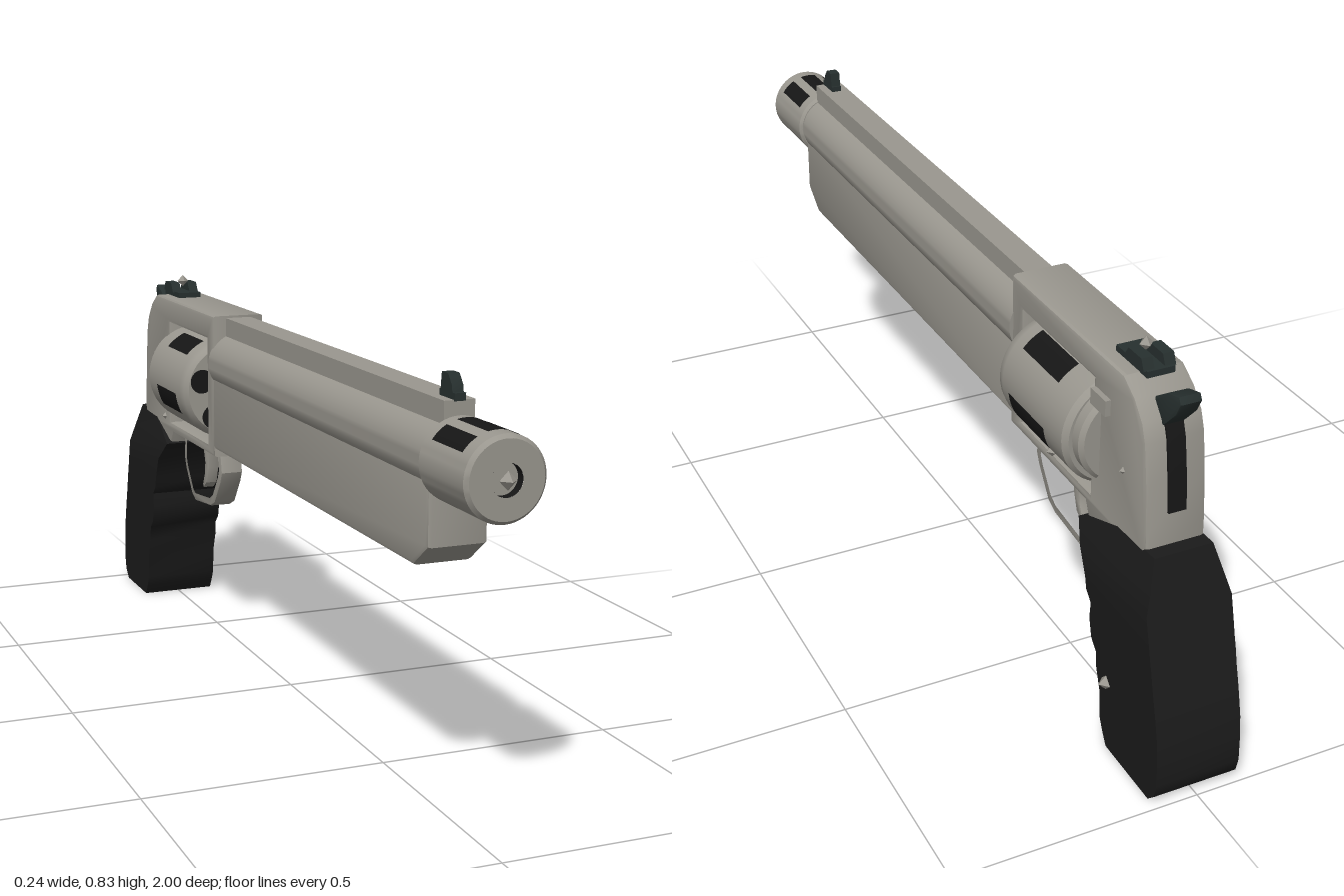
import * as THREE from 'three';
import { toCreasedNormals } from 'three/addons/utils/BufferGeometryUtils.js';

export function createModel() {
  const model = new THREE.Group();
  const paint = (name, color, side = THREE.FrontSide) => {
    const m = new THREE.MeshStandardMaterial({ color, side });
    m.name = name;
    return m;
  };
  const steel = paint('satin steel', 0x9a978f);
  const black = paint('black rubber', 0x1b1b1b);
  const recess = paint('dark recess', 0x161616, THREE.DoubleSide);
  const blued = paint('blued steel', 0x27302f);

  const add = (name, geo, mat, x = 0, y = 0, z = 0) => {
    const mesh = new THREE.Mesh(geo, mat);
    mesh.name = name;
    mesh.position.set(x, y, z);
    model.add(mesh);
    return mesh;
  };
  const box = (name, mat, w, h, d, x, y, z) => add(name, new THREE.BoxGeometry(w, h, d), mat, x, y, z);
  const vecs = pts => pts.map(p => new THREE.Vector2(p[0], p[1]));

  // Side profile in (z, y), extruded across x and centred
  const profile = (name, mat, pts, halfWidth, bevel = 0, hole = null) => {
    const shape = new THREE.Shape(vecs(pts));
    if (hole) shape.holes.push(new THREE.Path(vecs(hole)));
    const geo = new THREE.ExtrudeGeometry(shape, {
      depth: 2 * (halfWidth - bevel), bevelEnabled: bevel > 0, bevelSize: bevel,
      bevelThickness: bevel, bevelOffset: -bevel, bevelSegments: 2, curveSegments: 10,
    });
    geo.translate(0, 0, -(halfWidth - bevel));
    geo.rotateY(-Math.PI / 2);
    return add(name, toCreasedNormals(geo, 0.55), mat);
  };
  // Turned part along z, points are (radius, z)
  const turned = (name, mat, pts, y) => {
    const geo = new THREE.LatheGeometry(vecs(pts), 48);
    geo.rotateX(Math.PI / 2);
    return add(name, toCreasedNormals(geo, 0.6), mat, 0, y, 0);
  };
  // Dark curved panel lying on a turned surface, angle measured from +x
  const slot = (name, radius, y, z, length, angle, spread) => {
    const geo = new THREE.CylinderGeometry(radius, radius, length, 8, 1, true,
      angle + Math.PI / 2 - spread / 2, spread);
    geo.rotateX(Math.PI / 2);
    add(name, geo, recess, 0, y, z);
  };
  const stud = (name, size, x, y, z) => add(name, new THREE.OctahedronGeometry(size), steel, x, y, z);
  const rad = THREE.MathUtils.degToRad;

  // Barrel, rib and underlug
  const boreY = 0.675;
  turned('barrel', steel, [[0, -0.34], [0.07, -0.34], [0.07, 0.8], [0, 0.8]], boreY);
  box('topRib', steel, 0.06, 0.08, 1.13, 0, 0.74, 0.235);
  profile('underlug', steel,
    [[-0.34, 0.475], [0.745, 0.475], [0.805, 0.52], [0.805, 0.66], [-0.34, 0.66]], 0.06, 0.009);

  // Muzzle brake with three ports and a recessed bore
  turned('muzzleBrake', steel,
    [[0, 0.795], [0.072, 0.795], [0.078, 0.802], [0.078, 0.972], [0.071, 0.98], [0.03, 0.98]], boreY);
  const wall = new THREE.CylinderGeometry(0.03, 0.03, 0.02, 32, 1, true);
  wall.rotateX(Math.PI / 2);
  add('boreWall', wall, recess, 0, boreY, 0.97);
  add('boreFloor', new THREE.CircleGeometry(0.03, 32), steel, 0, boreY, 0.961);
  stud('borePin', 0.017, 0, boreY, 0.983);
  for (const a of [48, 90, 132]) slot('muzzlePort', 0.0792, boreY, 0.885, 0.115, rad(a), rad(27));

  // Frame with the cylinder window
  profile('frame', steel, [
    [-0.33, 0.785], [-0.33, 0.457], [-0.645, 0.457], [-0.66, 0.425], [-0.72, 0.42], [-0.87, 0.46],
    [-0.868, 0.52], [-0.86, 0.61], [-0.848, 0.69], [-0.835, 0.725], [-0.805, 0.76], [-0.765, 0.785],
  ], 0.0615, 0.008, [[-0.377, 0.48], [-0.377, 0.728], [-0.662, 0.728], [-0.662, 0.48]]);
  profile('hammerSlot', recess,
    [[-0.83, 0.72], [-0.842, 0.72], [-0.853, 0.69], [-0.866, 0.61], [-0.871, 0.55], [-0.85, 0.55]], 0.018);

  // Five-shot cylinder with flutes and chambers
  const drumY = 0.604;
  turned('cylinder', steel, [
    [0, -0.662], [0.108, -0.662], [0.117, -0.65], [0.118, -0.41], [0.114, -0.39], [0.105, -0.38], [0, -0.38],
  ], drumY);
  turned('recoilShield', steel,
    [[0, -0.695], [0.094, -0.695], [0.102, -0.686], [0.102, -0.664], [0, -0.664]], drumY + 0.006);
  for (let i = 0; i < 5; i++) {
    slot('flute', 0.1192, drumY, -0.51, 0.145, rad(54 + 72 * i), rad(25));
    const a = rad(18 + 72 * i);
    add('chamber', new THREE.CircleGeometry(0.028, 20), recess,
      0.076 * Math.cos(a), drumY + 0.076 * Math.sin(a), -0.3788);
  }
  box('releaseLatch', steel, 0.025, 0.032, 0.055, 0.06, 0.7, -0.7);

  // Trigger and guard
  profile('triggerGuard', steel, [
    [-0.392, 0.462], [-0.38, 0.405], [-0.392, 0.38], [-0.435, 0.322], [-0.465, 0.308], [-0.58, 0.296],
    [-0.605, 0.308], [-0.65, 0.365], [-0.66, 0.39], [-0.655, 0.462],
  ], 0.026, 0.003, [
    [-0.407, 0.456], [-0.396, 0.408], [-0.406, 0.387], [-0.445, 0.335], [-0.468, 0.323], [-0.578, 0.311],
    [-0.596, 0.32], [-0.637, 0.372], [-0.645, 0.392], [-0.64, 0.456],
  ]);
  profile('trigger', steel, [
    [-0.505, 0.465], [-0.515, 0.43], [-0.516, 0.39], [-0.53, 0.35], [-0.552, 0.334], [-0.557, 0.342],
    [-0.543, 0.37], [-0.538, 0.4], [-0.55, 0.435], [-0.55, 0.465],
  ], 0.014, 0.003);

  // Grip: rectangular sections as [frontZ, frontY, backZ, backY, halfWidth]
  const rows = [
    [-0.785, 0.48, -0.9, 0.485, 0.06], [-0.65, 0.428, -0.918, 0.43, 0.075],
    [-0.682, 0.385, -0.93, 0.385, 0.088], [-0.706, 0.33, -0.944, 0.33, 0.088],
    [-0.712, 0.305, -0.95, 0.305, 0.088], [-0.731, 0.285, -0.956, 0.285, 0.088],
    [-0.728, 0.25, -0.964, 0.25, 0.088], [-0.738, 0.21, -0.975, 0.21, 0.088],
    [-0.758, 0.19, -0.98, 0.19, 0.088], [-0.762, 0.155, -0.99, 0.147, 0.088],
    [-0.778, 0.11, -0.995, 0.1, 0.088], [-0.783, 0.05, -0.997, 0.05, 0.088],
    [-0.795, 0.025, -0.99, 0.02, 0.088], [-0.81, 0, -0.97, 0, 0.088],
  ];
  const pos = [], index = [];
  rows.forEach(([fz, fy, bz, by, w], r) => {
    pos.push(w, fy, fz, w, by, bz, -w, by, bz, -w, fy, fz);
    if (r === 0) return;
    for (let k = 0; k < 4; k++) {
      const a = (r - 1) * 4 + k, b = (r - 1) * 4 + (k + 1) % 4;
      index.push(a, a + 4, b, b, a + 4, b + 4);
    }
  });
  const e = (rows.length - 1) * 4;
  index.push(0, 1, 2, 0, 2, 3, e, e + 2, e + 1, e, e + 3, e + 2);
  const grip = new THREE.BufferGeometry();
  grip.setAttribute('position', new THREE.Float32BufferAttribute(pos, 3));
  grip.setIndex(index);
  add('grip', toCreasedNormals(grip, 0.7), black);

  // Hammer and sights
  profile('hammer', blued, [
    [-0.79, 0.74], [-0.805, 0.755], [-0.85, 0.785], [-0.885, 0.795], [-0.892, 0.782], [-0.878, 0.755],
    [-0.85, 0.725], [-0.83, 0.705],
  ], 0.022, 0.004);
  profile('rearSightBase', blued, [[-0.68, 0.784], [-0.68, 0.797], [-0.79, 0.797], [-0.79, 0.784]], 0.028);
  for (const s of [-1, 1]) {
    const blade = profile('rearSightBlade', blued,
      [[-0.715, 0.795], [-0.73, 0.817], [-0.775, 0.817], [-0.785, 0.795]], 0.011);
    blade.position.x = s * 0.0215;
  }
  stud('rearSightScrew', 0.014, 0, 0.821, -0.735);
  box('frontSightBase', blued, 0.022, 0.014, 0.06, 0, 0.785, 0.772);
  profile('frontSight', blued,
    [[0.745, 0.78], [0.795, 0.78], [0.79, 0.805], [0.775, 0.823], [0.75, 0.823]], 0.011);

  // Pins and screws
  stud('gripScrew', 0.016, 0.088, 0.147, -0.8);
  stud('framePin', 0.013, 0.062, 0.492, -0.515);
  stud('rearPin', 0.008, 0.061, 0.6, -0.78);
  stud('leftPin', 0.012, -0.061, 0.645, -0.75);
  stud('leftLowerPin', 0.009, -0.061, 0.49, -0.7);

  return model;
}
